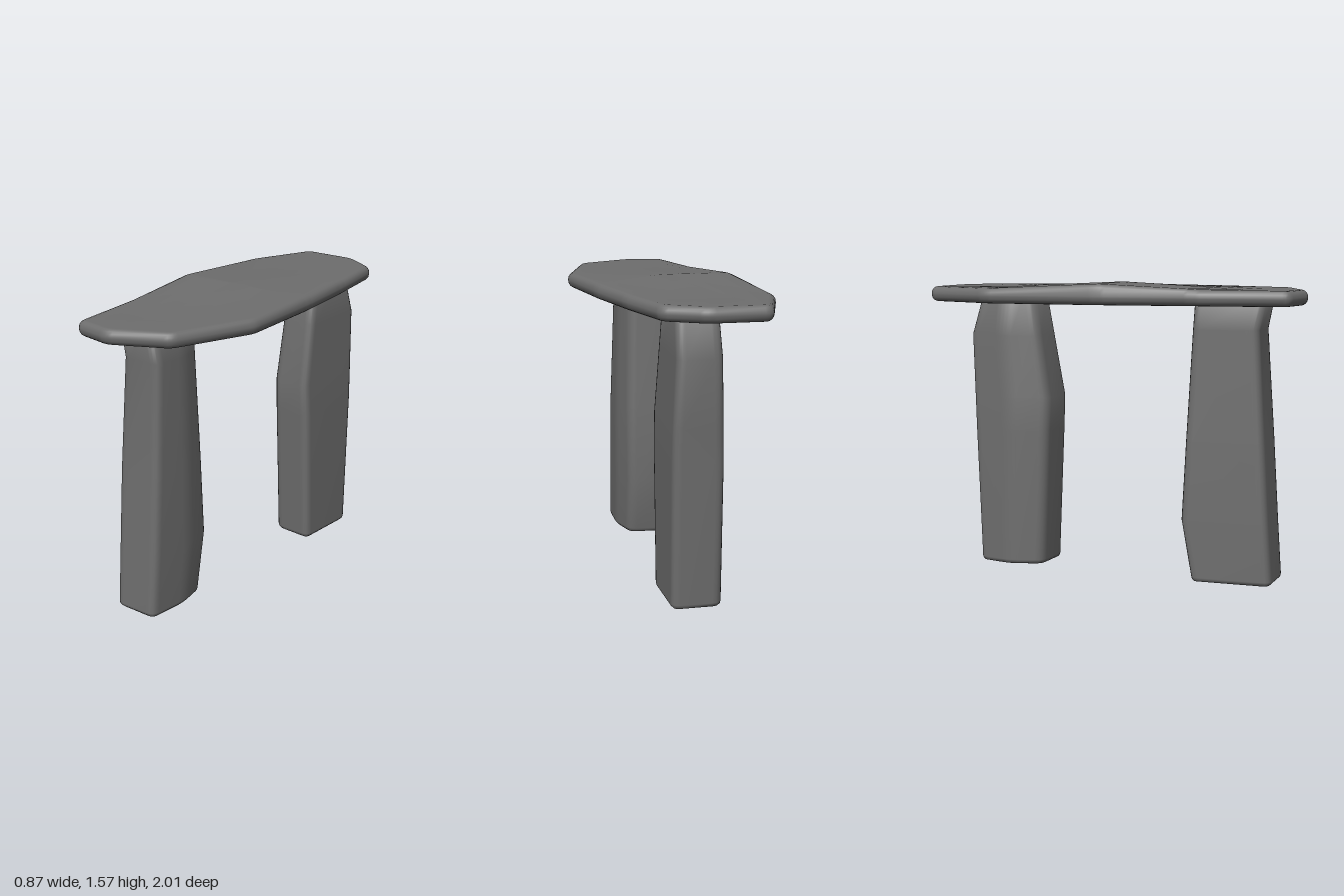
import * as THREE from 'three';

// Rounds the corners of a closed [x, z] outline (counterclockwise from above)
function roundOutline(corners, cut, steps = 4) {
  const out = [];
  const n = corners.length;
  corners.forEach((c, i) => {
    const p = new THREE.Vector2(...c);
    const toward = (q) => {
      const d = new THREE.Vector2(...q).sub(p);
      return p.clone().addScaledVector(d, Math.min(cut / d.length(), 0.45));
    };
    const curve = new THREE.QuadraticBezierCurve(
      toward(corners[(i + n - 1) % n]), p, toward(corners[(i + 1) % n]));
    out.push(...curve.getPoints(steps));
  });
  return out;
}

// Moves an outline inward along its normals
function inset(outline, d) {
  const n = outline.length;
  return outline.map((p, i) => {
    const t = outline[(i + 1) % n].clone().sub(outline[(i + n - 1) % n]).normalize();
    return new THREE.Vector2(p.x + t.y * d, p.y - t.x * d);
  });
}

// Skins a stack of { y, outline } rings and closes both ends
function loft(rings, heightRule = (x, y) => y) {
  const pos = [], index = [];
  const add = (x, y, z) => pos.push(x, heightRule(x, y, z), z) / 3 - 1;
  const n = rings[0].outline.length;
  for (const { y, outline } of rings) outline.forEach((p) => add(p.x, y, p.y));
  const cap = ({ y, outline }) => {
    const c = outline.reduce((s, p) => s.add(p), new THREE.Vector2()).divideScalar(n);
    return add(c.x, y, c.y);
  };
  const bottom = cap(rings[0]), top = cap(rings[rings.length - 1]);
  const last = (rings.length - 1) * n;
  for (let i = 0; i < n; i++) {
    const j = (i + 1) % n;
    for (let a = 0; a < last; a += n) {
      index.push(a + i, a + j, a + n + j, a + i, a + n + j, a + n + i);
    }
    index.push(bottom, j, i, top, last + i, last + j);
  }
  const g = new THREE.BufferGeometry();
  g.setAttribute('position', new THREE.Float32BufferAttribute(pos, 3));
  g.setIndex(index);
  g.computeVertexNormals();
  return g;
}

// Upright stone: corners are [x, share of the way from outer to inner side],
// levels are [y, outer z, inner z, width factor]
function uprightGeometry(corners, levels) {
  const rings = levels.map(([y, outer, inner, s]) => ({
    y,
    outline: roundOutline(
      corners.map(([x, t]) => [x * s, THREE.MathUtils.lerp(outer, inner, t)]), 0.045),
  }));
  // rounded foot
  const foot = rings[0].outline;
  const r = 0.025;
  const bevel = [0, 1, 2, 3].map((k) => {
    const a = (k / 3) * Math.PI / 2;
    return { y: r * (1 - Math.sin(a)), outline: inset(foot, r * (1 - Math.cos(a))) };
  }).reverse();
  return loft([...bevel, ...rings.slice(1)]);
}

// Flat lying stone with a rounded rim and a low ridge on its top
function capstoneGeometry() {
  const outline = roundOutline([
    [-0.315, -1.01], [-0.443, -0.62], [-0.4, 0], [-0.31, 0.48], [-0.225, 0.965], [0, 1.005],
    [0.295, 0.855], [0.437, 0.4], [0.37, -0.1], [0.295, -0.5], [0.205, -0.89], [0, -1.01],
  ], 0.04);
  const low = 1.457, high = 1.537, r = 0.036;
  const arc = [0, 1, 2, 3, 4].map((k) => (k / 4) * Math.PI / 2);
  const rings = [
    ...arc.map((a) => ({ y: low + r * (1 - Math.cos(a)), outline: inset(outline, r * (1 - Math.sin(a))) })),
    ...arc.map((a) => ({ y: high - r * (1 - Math.sin(a)), outline: inset(outline, r * (1 - Math.cos(a))) })),
  ];
  const rim = rings[rings.length - 1].outline;
  for (const s of [0.8, 0.6, 0.4, 0.2]) {
    rings.push({ y: high, outline: rim.map((p) => p.clone().multiplyScalar(s)) });
  }
  return loft(rings, (x, y, z) => {
    const lift = THREE.MathUtils.clamp((y - 1.5) / 0.037, 0, 1);
    const along = Math.max(0, 1 - Math.abs(z) / 0.58);
    const across = THREE.MathUtils.clamp((0.4 - x) / 0.4, 0, 1);
    return y + 0.029 * lift * along * across;
  });
}

export function createModel() {
  const group = new THREE.Group();
  const stone = new THREE.MeshStandardMaterial({ color: 0x6e6e6e });
  stone.name = 'stone grey';
  const add = (name, geometry) => {
    const mesh = new THREE.Mesh(geometry, stone);
    mesh.name = name;
    group.add(mesh);
  };

  add('frontUpright', uprightGeometry(
    [[-0.125, 0], [0.132, 0], [0.136, 0.55], [0.09, 0.95], [-0.158, 1]],
    [
      [0, 0.855, 0.425, 1],
      [0.33, 0.833, 0.37, 1.02],
      [0.75, 0.807, 0.392, 1.01],
      [1.33, 0.77, 0.42, 0.9],
      [1.5, 0.805, 0.43, 0.86],
    ]));

  add('backUpright', uprightGeometry(
    [[0.125, 0], [-0.125, 0], [-0.16, 0.5], [-0.1, 0.96], [0.133, 1]],
    [
      [0, -0.825, -0.435, 1],
      [0.75, -0.85, -0.405, 1.02],
      [0.93, -0.857, -0.397, 0.99],
      [1.27, -0.873, -0.455, 0.9],
      [1.5, -0.805, -0.495, 0.84],
    ]));

  add('capstone', capstoneGeometry());
  return group;
}
